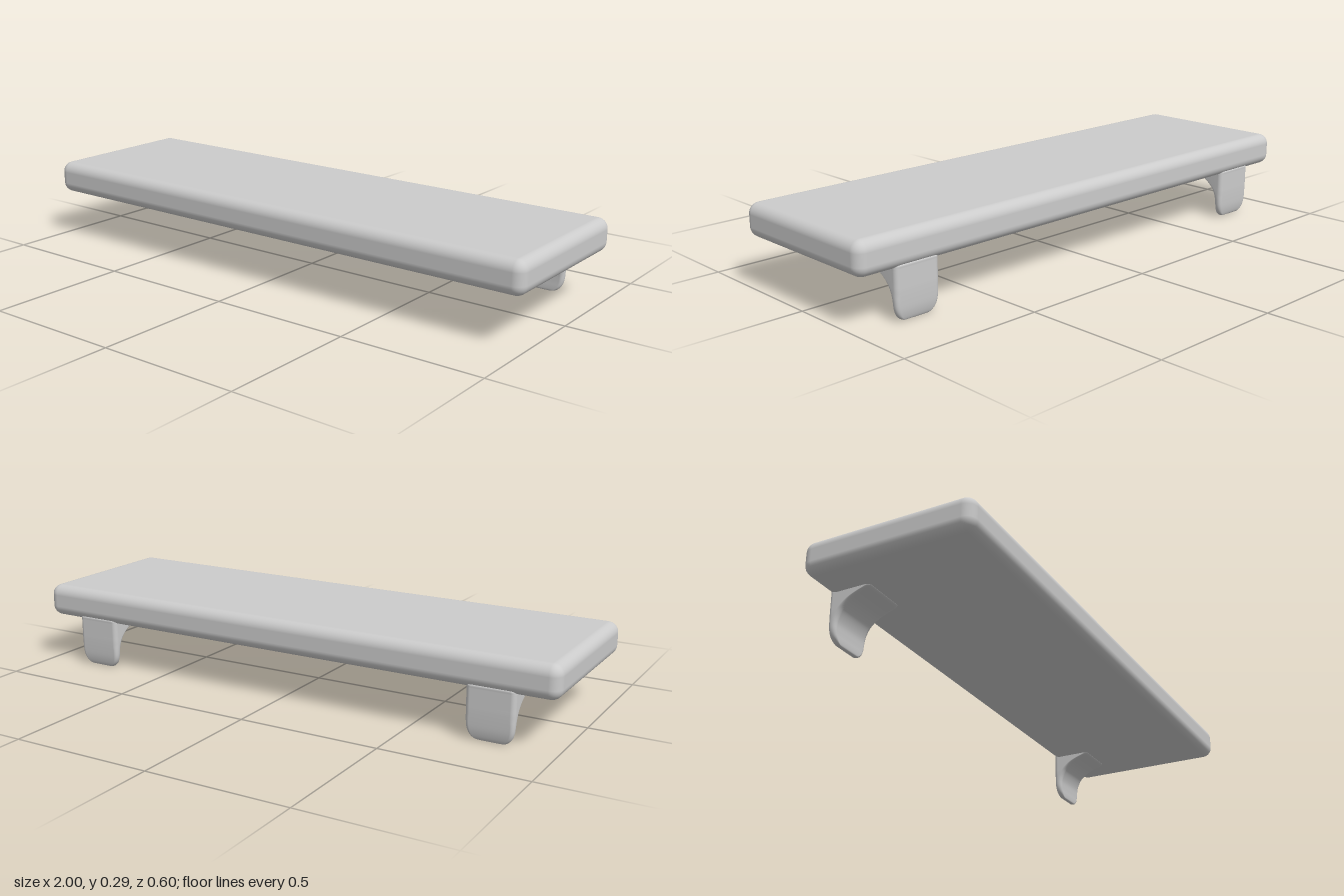
import * as THREE from 'three';
import { RoundedBoxGeometry } from 'three/addons/geometries/RoundedBoxGeometry.js';

const grey = new THREE.MeshStandardMaterial({ color: 0xcccccc });

// Bracket sections from the foot up: [y, half width, front z, back z]
const SECTIONS = [
  [0.0, 0.035, -0.266, -0.274],
  [0.004, 0.054, -0.263, -0.28],
  [0.018, 0.07, -0.262, -0.285],
  [0.04, 0.079, -0.262, -0.289],
  [0.07, 0.082, -0.26, -0.291],
  [0.1, 0.083, -0.25, -0.292],
  [0.12, 0.083, -0.236, -0.292],
  [0.14, 0.083, -0.211, -0.292],
  [0.155, 0.083, -0.178, -0.292],
  [0.165, 0.083, -0.149, -0.292],
  [0.172, 0.083, -0.142, -0.292],
  [0.18, 0.082, -0.145, -0.292],
  [0.186, 0.078, -0.152, -0.287],
];

// Curved bracket: rounded rectangles lofted along y
function bracketGeometry() {
  const rows = 48, perCorner = 7, ring = perCorner * 4;
  const front = new THREE.CatmullRomCurve3(
    SECTIONS.map(([y, w, f]) => new THREE.Vector3(w, y, f)), false, 'catmullrom', 0.5);
  const back = new THREE.CatmullRomCurve3(
    SECTIONS.map(([y, w, , b]) => new THREE.Vector3(w, y, b)), false, 'catmullrom', 0.5);
  const positions = [], index = [];

  for (let i = 0; i <= rows; i++) {
    const f = front.getPoint(i / rows), b = back.getPoint(i / rows);
    const depth = (f.z - b.z) / 2, mid = (f.z + b.z) / 2;
    const r = Math.min(0.016, depth * 0.9);
    for (let c = 0; c < 4; c++) {
      const sx = c === 0 || c === 3 ? 1 : -1, sz = c < 2 ? 1 : -1;
      for (let k = 0; k < perCorner; k++) {
        const a = (c + k / (perCorner - 1)) * Math.PI / 2;
        positions.push(sx * (f.x - r) + r * Math.cos(a), f.y, mid + sz * (depth - r) + r * Math.sin(a));
      }
    }
  }
  for (let i = 0; i < rows; i++) {
    for (let j = 0; j < ring; j++) {
      const a = i * ring + j, b = i * ring + (j + 1) % ring;
      index.push(a, a + ring, b, b, a + ring, b + ring);
    }
  }
  // End caps
  const top = rows * ring;
  for (let j = 1; j < ring - 1; j++) {
    index.push(0, j, j + 1, top, top + j + 1, top + j);
  }
  const geometry = new THREE.BufferGeometry();
  geometry.setAttribute('position', new THREE.Float32BufferAttribute(positions, 3));
  geometry.setIndex(index);
  geometry.computeVertexNormals();
  return geometry;
}

export function createModel() {
  const model = new THREE.Group();
  model.name = 'wallShelf';

  // Board with softly rounded edges
  const board = new THREE.Mesh(new RoundedBoxGeometry(2, 0.116, 0.6, 6, 0.037), grey);
  board.name = 'shelfBoard';
  board.position.y = 0.228;
  model.add(board);

  // Pair of brackets under the back edge
  const geometry = bracketGeometry();
  for (const [name, side] of [['leftBracket', 1], ['rightBracket', -1]]) {
    const bracket = new THREE.Mesh(geometry, grey);
    bracket.name = name;
    bracket.position.x = side * 0.778;
    model.add(bracket);
  }
  return model;
}
